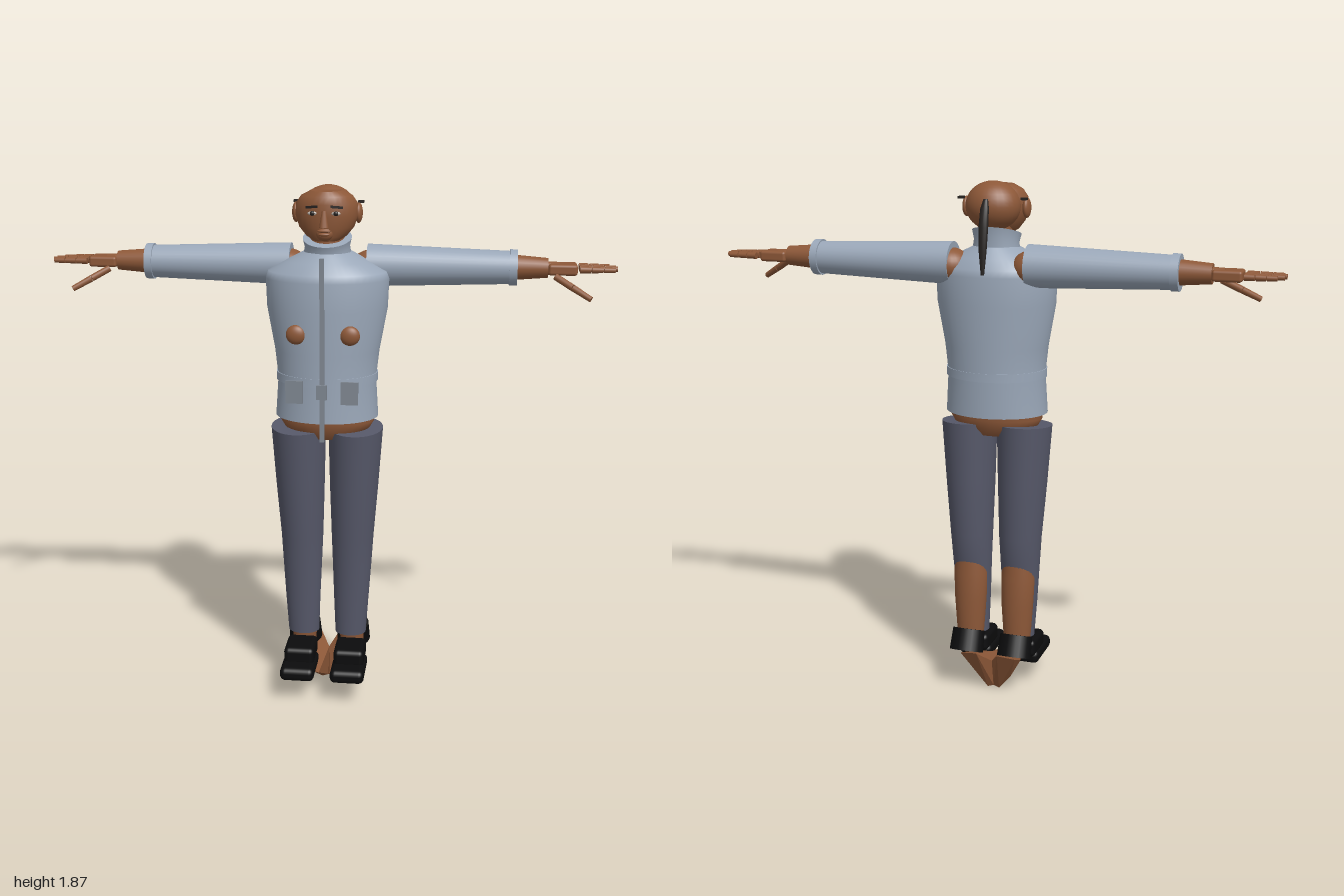
import * as THREE from 'three';
import { RoundedBoxGeometry } from 'three/addons/geometries/RoundedBoxGeometry.js';
import { ConvexGeometry } from 'three/addons/geometries/ConvexGeometry.js';

const colour = (name, hex) => {
  const m = new THREE.MeshStandardMaterial({ color: hex, side: THREE.DoubleSide });
  m.name = name;
  return m;
};

// Smooth body through elliptical rings, listed upward: [y, rx, rz, cx, cz, slope]
function loft(rings, n = 32) {
  const pos = [], idx = [];
  const point = ([y, rx, rz, cx, cz, slope = 0], i) => {
    const t = i / n * Math.PI * 2, dz = rz * Math.sin(t);
    pos.push(cx + rx * Math.cos(t), y + slope * dz, cz + dz);
  };
  rings.forEach((r, k) => {
    for (let i = 0; i < n; i++) {
      point(r, i);
      if (k === 0) continue;
      const j = (i + 1) % n, a = (k - 1) * n, b = k * n;
      idx.push(a + i, b + i, a + j, a + j, b + i, b + j);
    }
  });
  // end caps with their own vertices
  [[rings[0], false], [rings[rings.length - 1], true]].forEach(([r, top]) => {
    const c = pos.length / 3;
    pos.push(r[3], r[0], r[4]);
    for (let i = 0; i < n; i++) point(r, i);
    for (let i = 0; i < n; i++) {
      const p = c + 1 + i, q = c + 1 + (i + 1) % n;
      idx.push(c, top ? q : p, top ? p : q);
    }
  });
  const g = new THREE.BufferGeometry();
  g.setAttribute('position', new THREE.Float32BufferAttribute(pos, 3));
  g.setIndex(idx);
  g.computeVertexNormals();
  return g;
}

export function createModel() {
  const model = new THREE.Group();
  model.name = 'figure';
  const skin = colour('skin', 0x8d5838);
  const cloth = colour('jacket cloth', 0x9aa7b8);
  const trouser = colour('trouser cloth', 0x565869);
  const black = colour('shoe black', 0x0c0c0d);
  const hair = colour('dark hair', 0x262220);
  const metal = colour('grey metal', 0x7f8791);
  const white = colour('eye white', 0xb8b0a8);

  const add = (name, geo, mat, x = 0, y = 0, z = 0) => {
    const m = new THREE.Mesh(geo, mat);
    m.name = name;
    m.position.set(x, y, z);
    model.add(m);
    return m;
  };
  const box = (name, mat, w, h, d, x, y, z) => add(name, new THREE.BoxGeometry(w, h, d), mat, x, y, z);
  const ball = (name, mat, rx, ry, rz, x, y, z) =>
    add(name, new THREE.SphereGeometry(1, 28, 18), mat, x, y, z).scale.set(rx, ry, rz);
  // Tapered rod between two points
  const rod = (name, mat, a, b, ra, rb, sides = 24) => {
    const p = new THREE.Vector3(...a), q = new THREE.Vector3(...b), d = q.clone().sub(p);
    const m = add(name, new THREE.CylinderGeometry(rb, ra, d.length(), sides), mat);
    m.position.copy(p).add(q).multiplyScalar(0.5);
    m.quaternion.setFromUnitVectors(new THREE.Vector3(0, 1, 0), d.normalize());
    return m;
  };

  // Jacket, waistband and collar
  add('jacket', loft([
    [1.06, 0.183, 0.147, 0, -0.015], [1.2, 0.174, 0.148, 0, -0.018], [1.3, 0.185, 0.15, 0, -0.018],
    [1.45, 0.212, 0.155, 0, -0.02], [1.55, 0.216, 0.152, 0, -0.021], [1.575, 0.208, 0.145, 0, -0.022],
    [1.61, 0.145, 0.12, 0, -0.025], [1.645, 0.075, 0.085, 0, -0.028],
  ], 48), cloth);
  add('waistband', loft([[1.19, 0.18, 0.15, 0, -0.018], [1.22, 0.18, 0.15, 0, -0.018]], 48), cloth);
  add('collar', loft([
    [1.625, 0.085, 0.08, 0, -0.02, -0.1], [1.66, 0.078, 0.08, 0, -0.02, -0.25], [1.69, 0.085, 0.088, 0, -0.018, -0.28],
  ]), cloth);
  add('neck', loft([[1.62, 0.06, 0.06, 0, -0.02], [1.74, 0.06, 0.06, 0, -0.025]]), skin);
  add('hips', loft([
    [0.98, 0.1, 0.07, 0, -0.02], [1.01, 0.15, 0.09, 0, -0.02], [1.04, 0.168, 0.095, 0, -0.02], [1.1, 0.165, 0.1, 0, -0.02],
  ]), skin);

  // Zip and belt clasp standing in front of the jacket
  box('zip', metal, 0.016, 0.64, 0.008, 0, 1.32, 0.144);
  box('claspPlate', metal, 0.036, 0.05, 0.014, 0, 1.18, 0.152);

  // Head and face
  ball('cranium', skin, 0.096, 0.084, 0.084, 0, 1.782, -0.057);
  add('face', loft([
    [1.685, 0.045, 0.05, 0, 0.012], [1.70, 0.07, 0.064, 0, 0.006], [1.73, 0.095, 0.077, 0, 0],
    [1.77, 0.108, 0.085, 0, -0.003], [1.81, 0.106, 0.086, 0, -0.004], [1.835, 0.088, 0.08, 0, -0.005],
    [1.852, 0.055, 0.07, 0, -0.008],
  ]), skin);
  rod('nose', skin, [0, 1.735, 0.084], [0, 1.79, 0.078], 0.016, 0.008, 12);
  ball('muzzle', skin, 0.031, 0.027, 0.022, 0, 1.714, 0.06);
  ball('upperLip', skin, 0.024, 0.006, 0.008, 0, 1.723, 0.08);
  ball('lowerLip', skin, 0.02, 0.006, 0.008, 0, 1.711, 0.079);

  // Ponytail
  add('ponytail', loft([
    [1.56, 0.006, 0.004, 0, -0.173], [1.64, 0.014, 0.009, 0, -0.17], [1.72, 0.017, 0.012, 0, -0.162],
    [1.78, 0.015, 0.012, 0, -0.148], [1.81, 0.008, 0.008, 0, -0.136],
  ], 16), hair);

  for (const s of [1, -1]) {
    // Facial pairs
    ball('ear', skin, 0.014, 0.035, 0.027, s * 0.108, 1.775, -0.02);
    box('sideHair', hair, 0.02, 0.008, 0.02, s * 0.112, 1.808, -0.065);
    const brow = box('eyebrow', hair, 0.042, 0.008, 0.009, s * 0.042, 1.803, 0.075);
    brow.rotation.set(0, s * 0.3, s * -0.1);
    ball('eyeWhite', white, 0.016, 0.007, 0.006, s * 0.04, 1.782, 0.077);
    ball('iris', hair, 0.009, 0.008, 0.006, s * 0.04, 1.782, 0.079);

    // Chest patches and pocket plates
    ball('chestPatch', skin, 0.035, 0.034, 0.02, s * 0.093, 1.373, 0.117);
    box('pocketPlate', metal, 0.06, 0.08, 0.009, s * 0.096, 1.178, 0.149);

    // Arm
    const arm = -0.085;
    ball('shoulder', skin, 0.075, 0.062, 0.07, s * 0.15, 1.578, arm);
    rod('sleeve', cloth, [s * 0.135, 1.586, arm], [s * 0.635, 1.586, arm], 0.074, 0.057, 32);
    rod('cuff', cloth, [s * 0.628, 1.586, arm], [s * 0.655, 1.586, arm], 0.063, 0.062, 32);
    rod('forearm', skin, [s * 0.64, 1.587, arm], [s * 0.76, 1.587, arm], 0.044, 0.034);
    rod('wrist', skin, [s * 0.75, 1.586, arm], [s * 0.8, 1.586, arm], 0.024, 0.022);
    add('palm', new RoundedBoxGeometry(0.1, 0.038, 0.082, 2, 0.01), skin, s * 0.81, 1.585, arm);

    // Fingers of three joints, and the thumb of two
    [-0.133, -0.107, -0.081, -0.055].forEach((z, i) => {
      const tip = [0.975, 0.995, 1, 0.99][i], step = (tip - 0.868) / 3;
      for (let k = 0; k < 3; k++) {
        const x = 0.868 + k * step;
        rod('finger', skin, [s * x, 1.587, z], [s * (x + step - 0.003), 1.587, z], 0.012 - k * 0.001, 0.011 - k * 0.001, 12);
      }
    });
    rod('thumbBase', skin, [s * 0.785, 1.563, -0.048], [s * 0.843, 1.531, -0.018], 0.012, 0.012, 12);
    rod('thumbTip', skin, [s * 0.845, 1.53, -0.017], [s * 0.905, 1.497, 0.012], 0.012, 0.01, 12);

    // Trouser leg with the calf showing behind it
    add('trouserLeg', loft([
      [0.215, 0.057, 0.05, s * 0.088, -0.022], [0.35, 0.064, 0.053, s * 0.09, -0.018],
      [0.5, 0.072, 0.07, s * 0.092, -0.025], [0.6, 0.077, 0.082, s * 0.093, -0.027],
      [0.8, 0.088, 0.097, s * 0.098, -0.02], [1.015, 0.098, 0.11, s * 0.103, -0.015, -0.08],
    ]), trouser);
    add('calf', loft([
      [0.15, 0.042, 0.04, s * 0.09, -0.06], [0.23, 0.051, 0.044, s * 0.09, -0.055],
      [0.35, 0.059, 0.053, s * 0.09, -0.053], [0.45, 0.063, 0.053, s * 0.091, -0.046],
      [0.56, 0.05, 0.05, s * 0.092, -0.04],
    ]), skin);

    // Shoe
    add('sole', new RoundedBoxGeometry(0.125, 0.05, 0.185, 3, 0.02), black, s * 0.092, 0.112, 0.087);
    add('shoeUpper', new RoundedBoxGeometry(0.112, 0.065, 0.14, 3, 0.018), black, s * 0.092, 0.155, 0.042);
    const ankle = add('ankleCuff', new THREE.CylinderGeometry(0.052, 0.055, 0.08, 24), black, s * 0.092, 0.19, -0.086);
    ankle.rotation.x = 0.4;
    ankle.scale.x = 1.14;

    // Bare foot sloping down and inward below the shoe
    add('foot', new ConvexGeometry([
      [0, 0.008, -0.06], [0.022, 0, -0.06], [0, 0.115, -0.08], [0.04, 0.165, -0.142], [0.105, 0.155, -0.13],
      [0.1, 0.115, -0.04], [0.02, 0.085, 0.085], [0.065, 0.09, 0.07], [0.065, 0.05, -0.06],
    ].map(([x, y, z]) => new THREE.Vector3(s * x, y, z))), skin);
  }
  return model;
}
